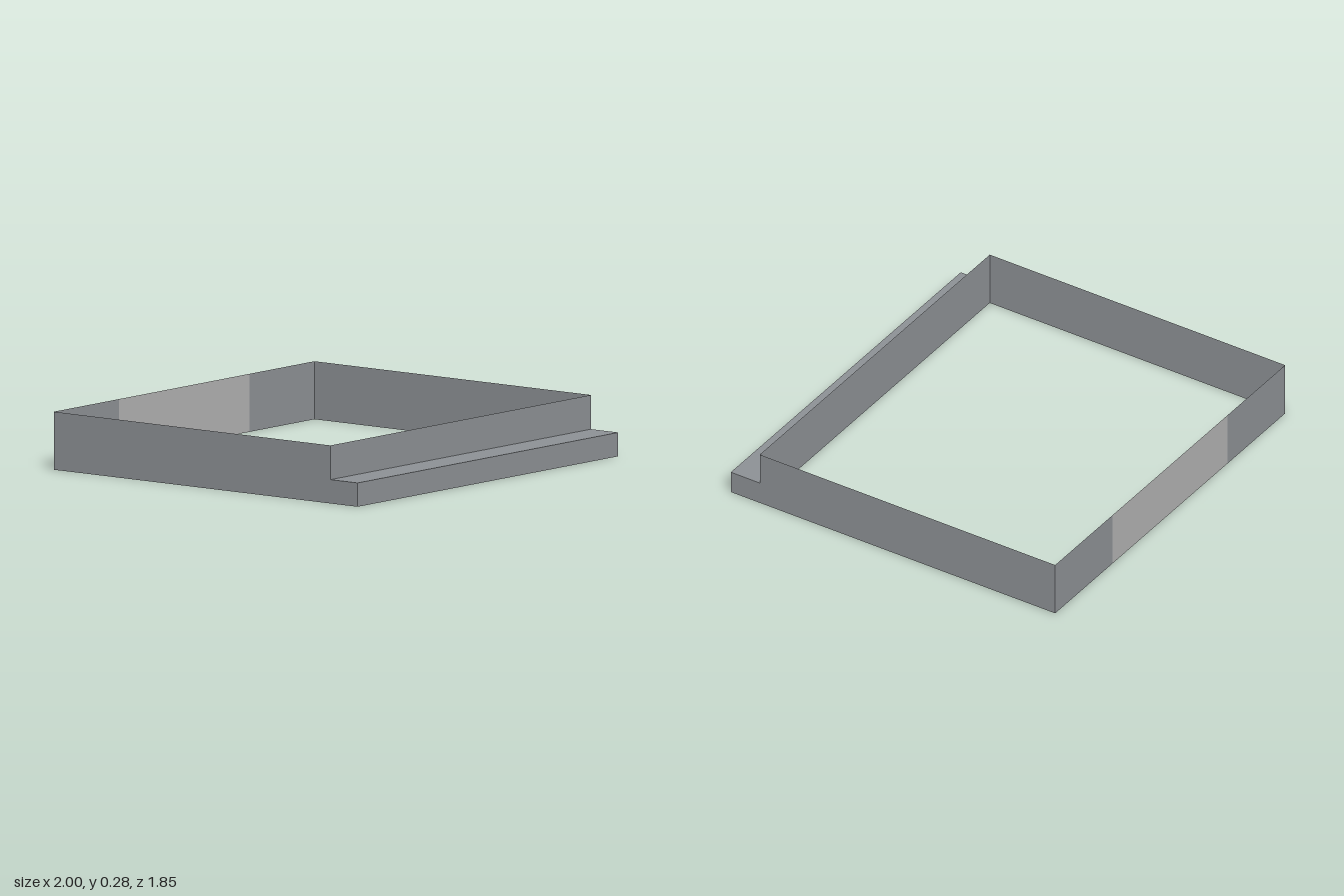
import * as THREE from 'three';

export function createModel() {
  const model = new THREE.Group();
  model.name = 'openFrame';

  const wallGrey = new THREE.MeshStandardMaterial({ color: 0x8e9296, side: THREE.DoubleSide });
  wallGrey.name = 'wallGrey';
  const panelGrey = new THREE.MeshStandardMaterial({ color: 0xb2b2b2, side: THREE.DoubleSide });
  panelGrey.name = 'panelGrey';

  const height = 0.28, back = -0.925, front = 0.76, stepFront = 0.925, stepHeight = 0.115;

  // Upright sheet of full wall height, centred on (x, z) and turned about y
  function addWall(name, width, x, z, turn, material) {
    const wall = new THREE.Mesh(new THREE.PlaneGeometry(width, height), material);
    wall.name = name;
    wall.position.set(x, height / 2, z);
    wall.rotation.y = turn;
    model.add(wall);
  }

  // Front wall
  addWall('frontWall', 2, 0, front, 0, wallGrey);

  // Side walls and the outer quarters of the back wall
  for (const [label, side] of [['left', 1], ['right', -1]]) {
    addWall(label + 'Wall', front - back, side, (front + back) / 2, side * Math.PI / 2, wallGrey);
    addWall(label + 'BackWall', 0.5, side * 0.75, back, Math.PI, wallGrey);
  }

  // Lighter middle of the back wall
  addWall('backPanel', 1, 0, back, Math.PI, panelGrey);

  // Low step along the front
  const step = new THREE.Mesh(new THREE.BoxGeometry(2, stepHeight, stepFront - front), wallGrey);
  step.name = 'frontStep';
  step.position.set(0, stepHeight / 2, (front + stepFront) / 2);
  model.add(step);

  return model;
}
